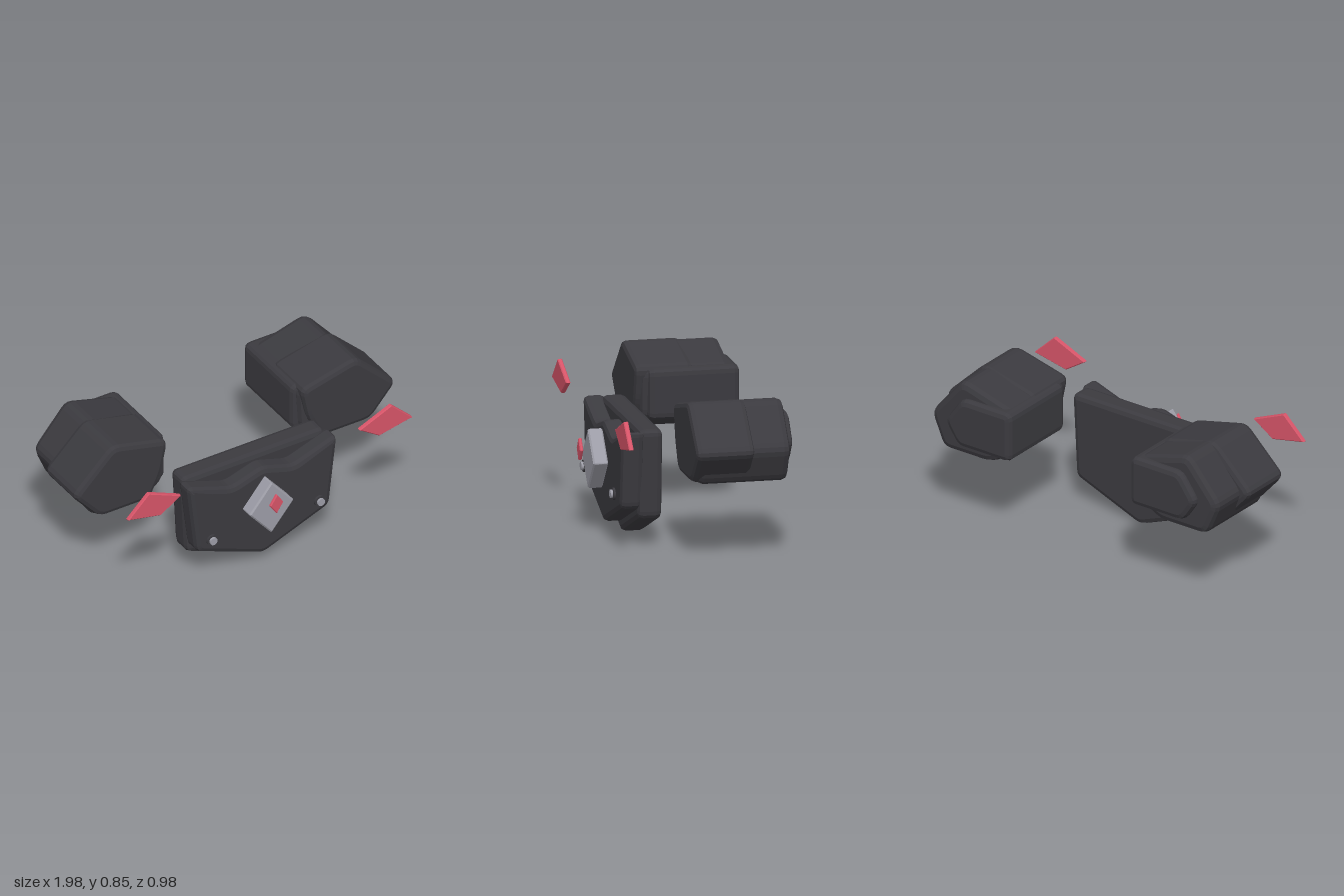
import * as THREE from 'three';

const dark = new THREE.MeshStandardMaterial({ color: 0x3b3a3f });
dark.name = 'charcoal armour';
const red = new THREE.MeshStandardMaterial({ color: 0xd65468 });
red.name = 'red gem';
const grey = new THREE.MeshStandardMaterial({ color: 0x9d9da7 });
grey.name = 'grey metal';

// Closed outline with every corner rounded by a short curve
function roundedOutline(points, cut) {
  const p = points.map(([x, y]) => new THREE.Vector2(x, y));
  const n = p.length;
  const out = [];
  for (let i = 0; i < n; i++) {
    const toward = (q) => p[i].clone().add(q.clone().sub(p[i]).setLength(cut));
    const a = toward(p[(i + n - 1) % n]);
    const b = toward(p[(i + 1) % n]);
    if (cut > 0) out.push(...new THREE.QuadraticBezierCurve(a, p[i], b).getPoints(3));
    else out.push(p[i]);
  }
  return new THREE.Shape(out);
}

// Bevelled slab between two depths, faceted like hard-edged armour
function slab(name, material, points, z0, z1, bevel, cut, segments = 2) {
  const geometry = new THREE.ExtrudeGeometry(roundedOutline(points, cut), {
    depth: z1 - z0 - 2 * bevel,
    bevelThickness: bevel,
    bevelSize: bevel,
    bevelOffset: -bevel,
    bevelSegments: segments,
  });
  geometry.translate(0, 0, z0 + bevel);
  const mesh = new THREE.Mesh(geometry, material);
  mesh.name = name;
  return mesh;
}

// Full symmetric outline from its +x half (first and last points on x = 0)
const mirrored = (half) => [
  ...half,
  ...half.slice(1, -1).reverse().map(([x, y]) => [-x, y]),
];

const diamond = (cx, cy, rx, ry) => [[cx + rx, cy], [cx, cy + ry], [cx - rx, cy], [cx, cy - ry]];

function disc(name, material, radius, x, y, z0, z1) {
  const geometry = new THREE.CylinderGeometry(radius, radius, z1 - z0, 16);
  geometry.rotateX(Math.PI / 2);
  const mesh = new THREE.Mesh(geometry, material);
  mesh.name = name;
  mesh.position.set(x, y, (z0 + z1) / 2);
  return mesh;
}

function createChest() {
  const chest = new THREE.Group();
  chest.name = 'chest';

  // Back plate: flat top, pointed bottom
  const backHalf = [[0, -0.005], [0.42, 0.16], [0.445, 0.642]];
  const back = [...backHalf, ...backHalf.slice(1).reverse().map(([x, y]) => [-x, y])];
  chest.add(slab('chestBackPlate', dark, back, 0.13, 0.26, 0.03, 0.035));

  // Front plate: raised corners, small central peak
  const front = mirrored([[0, 0.053], [0.415, 0.215], [0.465, 0.645], [0.19, 0.55], [0, 0.61]]);
  chest.add(slab('chestFrontPlate', dark, front, 0.235, 0.355, 0.03, 0.035));

  // Central emblem plate and its gem
  chest.add(slab('chestDiamond', grey, diamond(0, 0.402, 0.138, 0.164), 0.355, 0.436, 0.008, 0.008, 1));
  chest.add(slab('chestGem', red, diamond(0, 0.456, 0.042, 0.062), 0.468, 0.487, 0.005, 0.004, 1));

  // Bolts
  for (const s of [1, -1]) {
    chest.add(disc('boltRing', dark, 0.033, s * 0.335, 0.284, 0.37, 0.382));
    chest.add(disc('boltHead', grey, 0.022, s * 0.335, 0.284, 0.382, 0.395));
  }
  return chest;
}

function createShoulder(side) {
  const shoulder = new THREE.Group();
  shoulder.name = side > 0 ? 'leftShoulder' : 'rightShoulder';
  const flip = (points) => points.map(([x, y]) => [side * x, y]);

  // Three nested blocks, stepping back and inward
  const outer = [[1.008, 0.622], [0.76, 0.862], [0.415, 0.778], [0.455, 0.585], [0.53, 0.438], [0.845, 0.438]];
  const middle = [[0.948, 0.62], [0.745, 0.858], [0.415, 0.765], [0.43, 0.5], [0.56, 0.428], [0.865, 0.428]];
  const inner = [[0.828, 0.62], [0.72, 0.77], [0.395, 0.77], [0.395, 0.49], [0.74, 0.49]];
  shoulder.add(slab('shoulderOuterBlock', dark, flip(outer), -0.24, 0.075, 0.028, 0.045));
  shoulder.add(slab('shoulderMiddleBlock', dark, flip(middle), -0.447, 0.045, 0.035, 0.045));
  shoulder.add(slab('shoulderInnerBlock', dark, flip(inner), -0.488, 0.01, 0.03, 0.04));

  // Floating gem ahead of the shoulder
  const gem = [[0.888, 0.645], [0.756, 0.772], [0.554, 0.685], [0.68, 0.602]];
  shoulder.add(slab('shoulderGem', red, flip(gem), 0.395, 0.421, 0.005, 0.005, 1));
  return shoulder;
}

export function createModel() {
  const model = new THREE.Group();
  model.name = 'shoulderAndChestArmour';
  model.add(createChest(), createShoulder(1), createShoulder(-1));
  return model;
}
